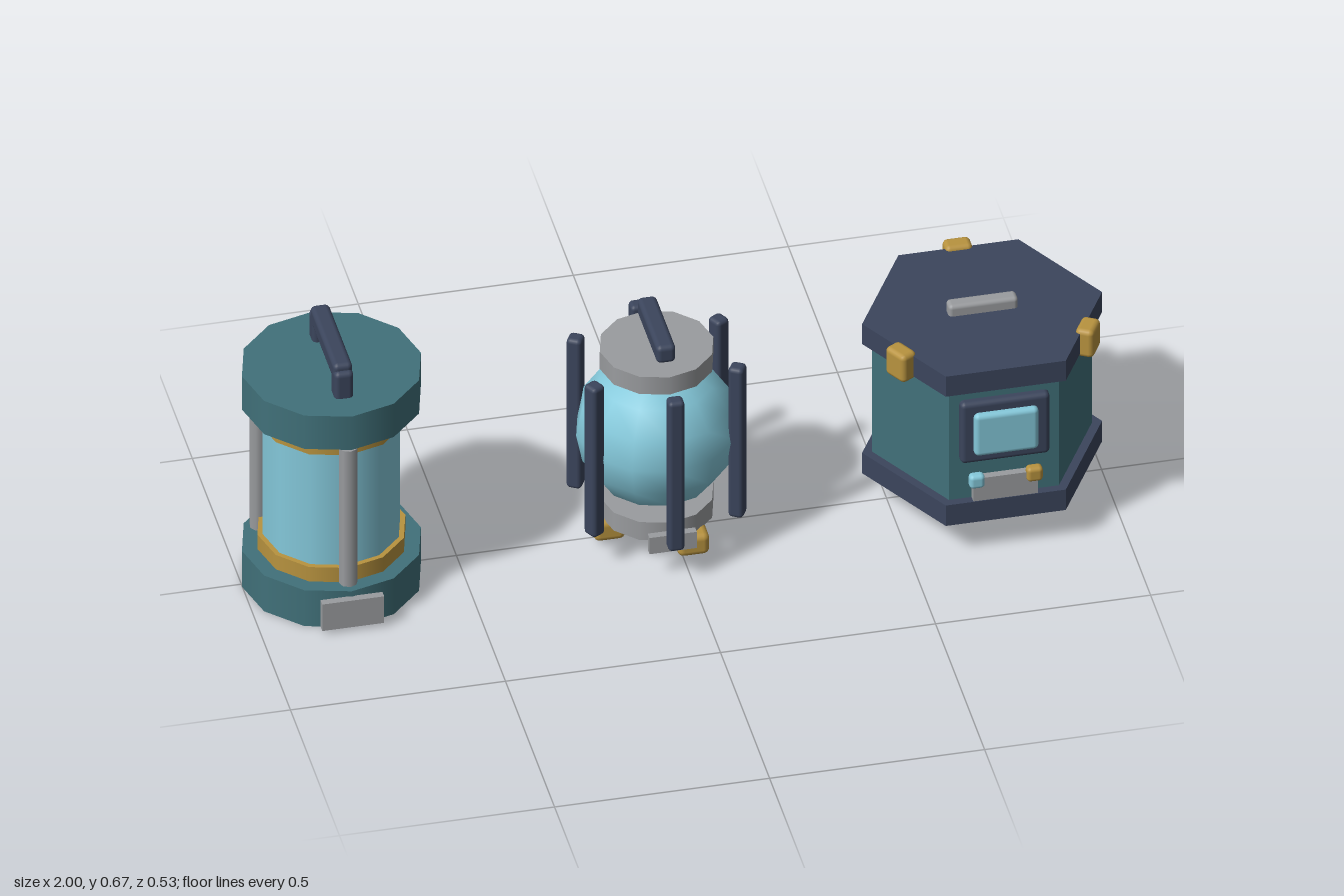
import * as THREE from 'three';
import { RoundedBoxGeometry } from 'three/addons/geometries/RoundedBoxGeometry.js';

const mat = (name, color) => {
  const m = new THREE.MeshStandardMaterial({ color });
  m.name = name;
  return m;
};

export function createModel() {
  const teal = mat('teal', 0x41717a);
  const navy = mat('navy', 0x3b455c);
  const gold = mat('gold', 0xb8933f);
  const grey = mat('grey', 0x9a9c9f);
  const cyan = mat('cyan', 0x84c8da);

  const root = new THREE.Group();
  root.name = 'containers';

  function unit(name, x) {
    const g = new THREE.Group();
    g.name = name;
    g.position.set(x, 0, 0.01);
    root.add(g);
    return g;
  }
  function add(parent, name, geo, material, x, y, z, ry = 0) {
    const m = new THREE.Mesh(geo, material);
    m.name = name;
    m.position.set(x, y, z);
    m.rotation.y = ry;
    parent.add(m);
    return m;
  }
  const soft = (w, h, d, r = 0.01) => new RoundedBoxGeometry(w, h, d, 2, r);
  // Upright cylinder between two heights
  function drum(parent, name, r, y0, y1, material, sides = 12) {
    return add(parent, name, new THREE.CylinderGeometry(r, r, y1 - y0, sides), material, 0, (y0 + y1) / 2, 0);
  }
  // Calls fn(x, z, angle) around a ring; angle 0 points to the front
  function ring(count, r, start, fn) {
    for (let i = 0; i < count; i++) {
      const a = start + (i * 2 * Math.PI) / count;
      fn(r * Math.sin(a), r * Math.cos(a), a);
    }
  }

  // ---- Round canister with glass core ----
  const canister = unit('canister', -0.793);
  drum(canister, 'canisterBase', 0.208, 0, 0.1, teal);
  drum(canister, 'canisterLid', 0.208, 0.495, 0.588, teal);
  drum(canister, 'canisterCore', 0.16, 0.1, 0.495, cyan);
  drum(canister, 'lowerBand', 0.172, 0.1, 0.14, gold);
  drum(canister, 'upperBand', 0.172, 0.455, 0.495, gold);
  ring(3, 0.172, 0, (x, z, a) =>
    add(canister, 'pillar', new THREE.CylinderGeometry(0.022, 0.022, 0.378, 8), grey, x, 0.291, z, a));
  for (const s of [-1, 1])
    add(canister, 'handlePost', soft(0.045, 0.08, 0.046, 0.012), navy, 0, 0.617, s * 0.113);
  add(canister, 'handleBar', soft(0.045, 0.047, 0.247, 0.012), navy, 0, 0.649, 0);
  add(canister, 'canisterPlate', new THREE.BoxGeometry(0.144, 0.074, 0.018), grey, 0, 0.048, 0.214);

  // ---- Globe pod in a cage of rods ----
  const pod = unit('globePod', -0.037);
  add(pod, 'globe', new THREE.SphereGeometry(0.187, 12, 8), cyan, 0, 0.297, 0);
  drum(pod, 'podLowerCap', 0.132, 0.067, 0.117, grey);
  drum(pod, 'podUpperCap', 0.132, 0.475, 0.523, grey);
  ring(6, 0.192, 0, (x, z, a) =>
    add(pod, 'cageRod', soft(0.038, 0.415, 0.036), navy, x, 0.297, z, a));
  ring(3, 0.115, -Math.PI / 2, (x, z) =>
    add(pod, 'foot', soft(0.074, 0.056, 0.074, 0.015), gold, x, 0.043, z));
  add(pod, 'podHandle', soft(0.045, 0.047, 0.208, 0.012), navy, 0, 0.564, 0);
  add(pod, 'podPlate', new THREE.BoxGeometry(0.11, 0.045, 0.018), grey, 0, 0.087, 0.161);

  // ---- Hexagonal case ----
  const hexCase = unit('hexCase', 0.72);
  for (const [name, r, y0, y1, m] of [
    ['caseBase', 0.279, 0.086, 0.143, navy],
    ['caseBody', 0.256, 0.143, 0.447, teal],
    ['caseLid', 0.279, 0.447, 0.503, navy],
  ]) {
    const part = drum(hexCase, name, r, y0, y1, m, 6);
    part.geometry = part.geometry.toNonIndexed();
    part.geometry.computeVertexNormals();
    part.rotation.y = Math.PI / 6;
  }
  ring(3, 0.251, Math.PI / 3, (x, z, a) =>
    add(hexCase, 'clip', soft(0.064, 0.075, 0.044, 0.012), gold, x, 0.475, z, a));
  add(hexCase, 'caseGrip', soft(0.162, 0.042, 0.036), grey, 0, 0.51, 0);

  // Window and controls on the front face
  add(hexCase, 'windowFrame', soft(0.208, 0.168, 0.036, 0.012), navy, 0, 0.333, 0.224);
  add(hexCase, 'windowPane', soft(0.15, 0.115, 0.036, 0.012), cyan, 0, 0.333, 0.239);
  add(hexCase, 'casePlate', new THREE.BoxGeometry(0.15, 0.066, 0.018), grey, 0, 0.172, 0.231);
  add(hexCase, 'cyanKnob', soft(0.036, 0.036, 0.026), cyan, -0.067, 0.2, 0.238);
  add(hexCase, 'goldKnob', soft(0.038, 0.038, 0.027), gold, 0.067, 0.2, 0.238);

  return root;
}
